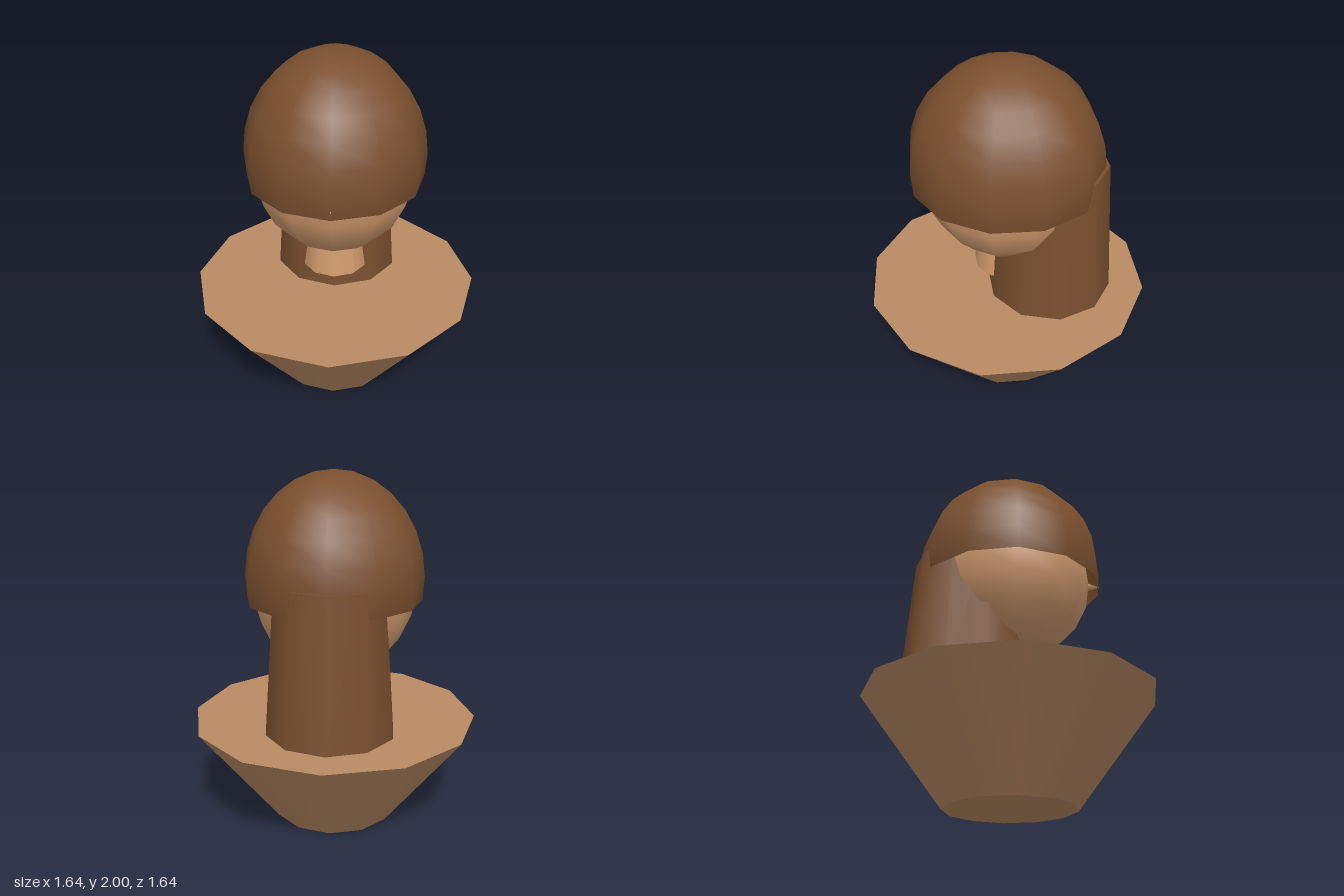
import * as THREE from 'three';

const material = (name, color, extra = {}) => {
  const m = new THREE.MeshStandardMaterial({ color, ...extra });
  m.name = name;
  return m;
};

export function createModel() {
  const model = new THREE.Group();
  model.name = 'bust';

  const hair = material('brown hair', 0x7a4f2e, { side: THREE.DoubleSide });
  const skin = material('skin', 0xd19b6e);
  const clay = material('base tan', 0xb98a62);

  const add = (name, geometry, mat, x, y, z) => {
    const mesh = new THREE.Mesh(geometry, mat);
    mesh.name = name;
    mesh.position.set(x, y, z);
    model.add(mesh);
    return mesh;
  };

  // Flared shoulders, wide at the top
  add('shoulders', new THREE.CylinderGeometry(0.82, 0.36, 0.6, 12), clay, 0, 0.3, 0);

  // Short neck under the chin
  add('neck', new THREE.CylinderGeometry(0.145, 0.185, 0.28, 10), skin, 0, 0.86, 0.005);

  // Egg-shaped head
  const head = new THREE.SphereGeometry(1, 12, 10);
  head.scale(0.46, 0.5, 0.475);
  add('head', head, skin, 0, 1.355, 0);

  // Nose, its tip just reaching through the fringe
  const nose = new THREE.ConeGeometry(0.04, 0.12, 6);
  nose.rotateX(Math.PI / 2);
  add('nose', nose, skin, 0, 1.34, 0.485);

  // Open bowl of hair over the head
  const cap = new THREE.SphereGeometry(1, 12, 8, 0, Math.PI * 2, 0, Math.PI * 0.56);
  cap.scale(0.505, 0.598, 0.54);
  add('hairCap', cap, hair, 0, 1.402, 0);

  // Long hair falling down the back
  add('backHair', new THREE.CylinderGeometry(0.305, 0.365, 0.83, 10), hair, 0, 1.015, -0.255);

  return model;
}
